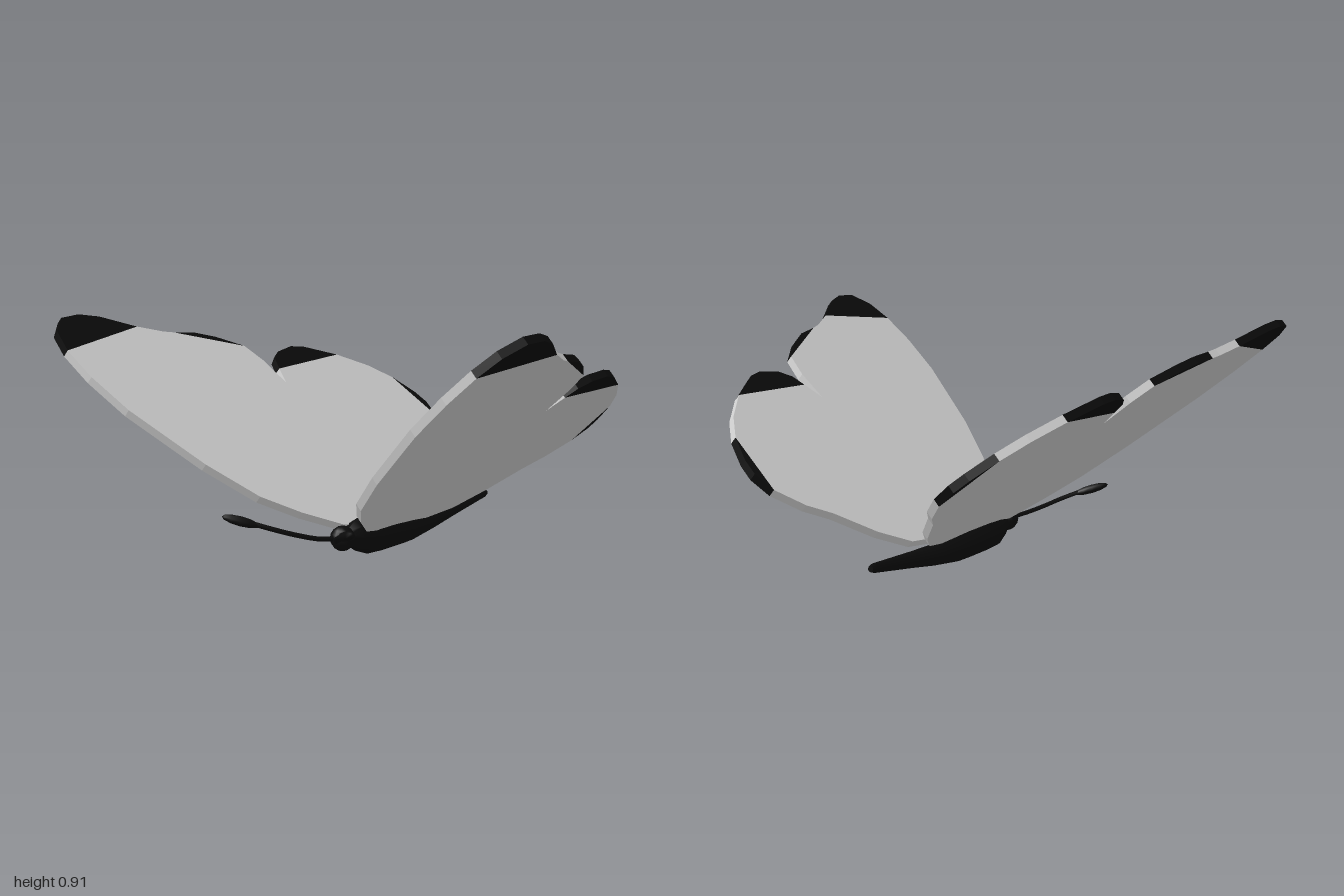
import * as THREE from 'three';

const wingGrey = new THREE.MeshStandardMaterial({ color: 0xd0d0d0 });
wingGrey.name = 'wingGrey';
const black = new THREE.MeshStandardMaterial({ color: 0x0b0b0b });
black.name = 'black';

// Wing outline seen from above: [distance from the centre, z]
const outline = [
  [0.025, -0.19], [0.045, -0.37], [0.11, -0.5], [0.21, -0.635], [0.26, -0.73],
  [0.335, -0.815], [0.40, -0.835], [0.45, -0.82], [0.53, -0.765],
  [0.6, -0.68], [0.67, -0.55],
  [0.73, -0.39], [0.74, -0.32], [0.728, -0.22], [0.70, -0.165], [0.66, -0.14],
  [0.6, -0.107], [0.7, -0.095],
  [0.775, -0.06], [0.83, 0.05], [0.86, 0.14], [0.875, 0.25],
  [0.885, 0.3], [0.92, 0.41],
  [0.98, 0.55], [1.0, 0.64], [0.995, 0.735], [0.945, 0.805], [0.87, 0.83],
  [0.76, 0.825], [0.62, 0.785], [0.38, 0.65], [0.23, 0.53], [0.14, 0.4], [0.06, 0.25], [0.03, 0.08],
];
// First and last outline point of each black edge patch
const patches = [[5, 8], [10, 15], [18, 21], [23, 28]];

const SLOPE = 0.824, THICK = 0.03;

// Slab over a flat outline, raised onto the slanted wing plane
function wingSlab(points, side, twist) {
  const shape = new THREE.Shape(points.map(([x, z]) => new THREE.Vector2(side * x, -z)));
  const geo = new THREE.ExtrudeGeometry(shape, { depth: THICK, bevelEnabled: false });
  geo.rotateX(-Math.PI / 2);
  const p = geo.attributes.position;
  for (let i = 0; i < p.count; i++) {
    const x = p.getX(i), w = p.getY(i), z = p.getZ(i);
    p.setXYZ(i, x - side * 0.64 * w, 0.07 + SLOPE * Math.abs(x) + 0.77 * w - twist * z, z);
  }
  geo.computeVertexNormals();
  return geo;
}

function makeWing(side, twist, name) {
  const wing = new THREE.Group();
  wing.name = name;
  const inner = outline.filter((_, i) => !patches.some(([a, b]) => i > a && i < b));
  const panel = new THREE.Mesh(wingSlab(inner, side, twist), wingGrey);
  panel.name = 'wingPanel';
  wing.add(panel);
  for (const [a, b] of patches) {
    const patch = new THREE.Mesh(wingSlab(outline.slice(a, b + 1), side, twist), black);
    patch.name = 'wingEdgePatch';
    wing.add(patch);
  }
  return wing;
}

// Eight-sided body through rings of [z, centre height, radius]
function makeBody() {
  const rings = [
    [0.265, 0.09, 0.025], [0.22, 0.09, 0.056], [0.14, 0.084, 0.077], [0.04, 0.083, 0.08],
    [-0.1, 0.074, 0.07], [-0.28, 0.068, 0.042], [-0.45, 0.084, 0.031], [-0.7, 0.108, 0.018], [-0.725, 0.109, 0.011],
  ];
  const n = rings.length - 1;
  const geo = new THREE.CylinderGeometry(1, 1, 1, 8, n);
  geo.rotateX(Math.PI / 2);
  const p = geo.attributes.position;
  for (let i = 0; i < p.count; i++) {
    const [z, cy, r] = rings[Math.round((0.5 - p.getZ(i)) * n)];
    p.setXYZ(i, p.getX(i) * r * 0.93, cy + p.getY(i) * r, z);
  }
  geo.computeVertexNormals();
  const body = new THREE.Mesh(geo, black);
  body.name = 'body';
  return body;
}

function makeAntenna(side) {
  const antenna = new THREE.Group();
  antenna.name = side > 0 ? 'leftAntenna' : 'rightAntenna';
  const path = [[0.008, 0.095, 0.32], [0.04, 0.103, 0.39], [0.085, 0.122, 0.455], [0.135, 0.147, 0.52], [0.2, 0.175, 0.58]]
    .map(([x, y, z]) => new THREE.Vector3(side * x, y, z));
  const stalk = new THREE.Mesh(
    new THREE.TubeGeometry(new THREE.CatmullRomCurve3(path), 12, 0.009, 6), black);
  stalk.name = 'antennaStalk';

  // Pointed club at the tip
  const club = new THREE.Mesh(new THREE.SphereGeometry(1, 8, 6), black);
  club.name = 'antennaClub';
  const from = new THREE.Vector3(side * 0.175, 0.163, 0.56);
  const to = new THREE.Vector3(side * 0.287, 0.2, 0.637);
  club.position.copy(from).lerp(to, 0.5);
  club.scale.set(0.018, from.distanceTo(to) / 2, 0.018);
  club.quaternion.setFromUnitVectors(new THREE.Vector3(0, 1, 0), to.clone().sub(from).normalize());
  antenna.add(stalk, club);
  return antenna;
}

export function createModel() {
  const model = new THREE.Group();
  model.name = 'butterfly';
  model.add(makeWing(1, 0, 'leftWing'), makeWing(-1, 0.035, 'rightWing'));

  // Body, head and antennae sit slightly off centre between the wings
  const insect = new THREE.Group();
  insect.name = 'bodyGroup';
  insect.position.x = -0.015;
  const head = new THREE.Mesh(new THREE.SphereGeometry(0.047, 12, 8), black);
  head.name = 'head';
  head.position.set(0, 0.094, 0.297);
  insect.add(makeBody(), head, makeAntenna(1), makeAntenna(-1));
  model.add(insect);
  return model;
}
